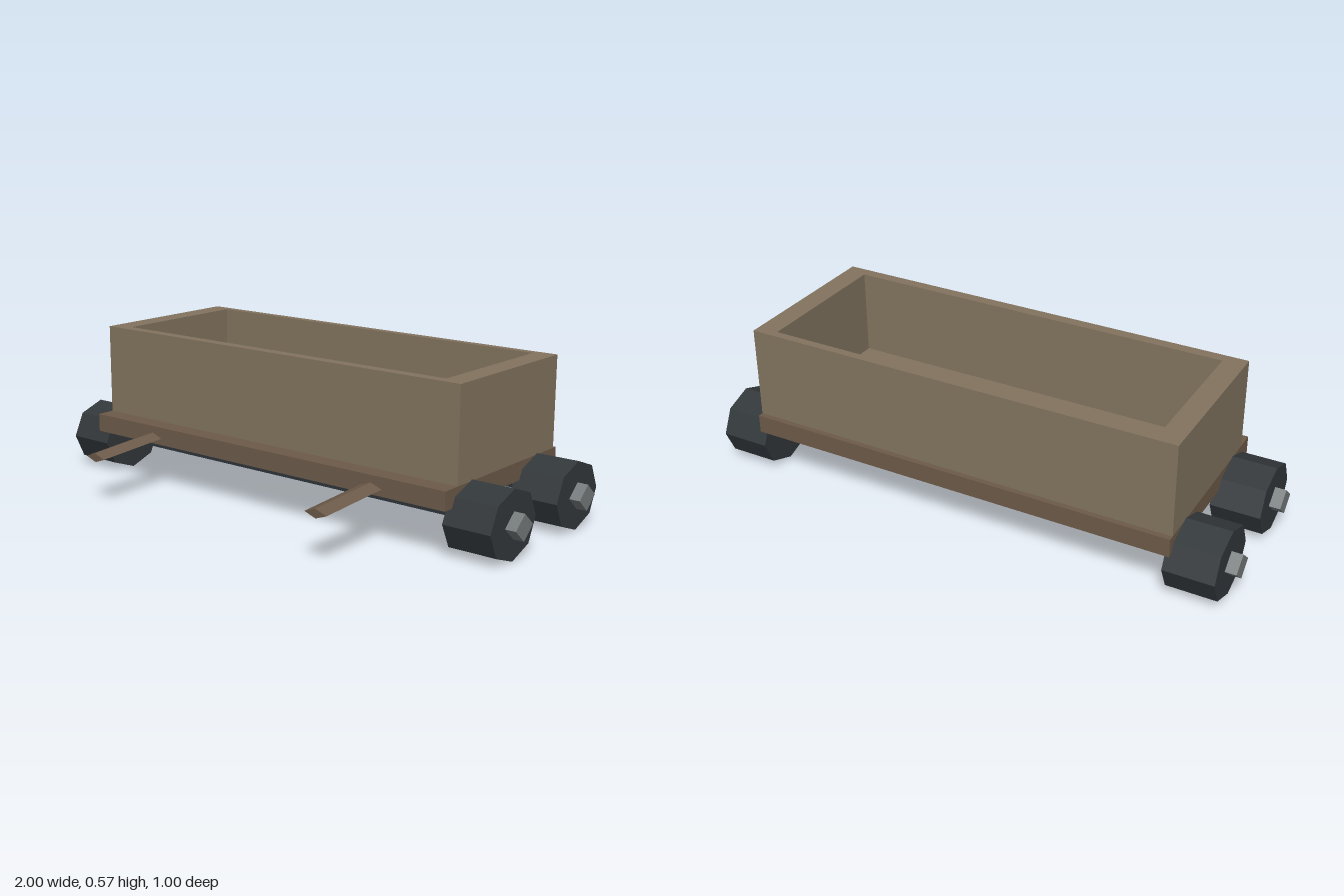
import * as THREE from 'three';

const paint = (color) => new THREE.MeshStandardMaterial({ color, flatShading: true });

export function createModel() {
  const group = new THREE.Group();
  const wood = paint(0x82735e), darkWood = paint(0x6c5a49);
  const rubber = paint(0x32373a), steel = paint(0x3b444b), hubMetal = paint(0x74797b);

  function add(name, geometry, material, x, y, z) {
    const mesh = new THREE.Mesh(geometry, material);
    mesh.name = name;
    mesh.position.set(x, y, z);
    group.add(mesh);
    return mesh;
  }

  // Faceted bar lying along x, with its own height and depth radii
  const barX = (length, sides, ry, rz) =>
    new THREE.CylinderGeometry(1, 1, length, sides).rotateZ(Math.PI / 2).scale(1, ry, rz);

  // Flat bed
  add('chassis', new THREE.BoxGeometry(1.6, 0.067, 0.7), darkWood, 0, 0.2065, -0.14);

  // Open cargo box: four walls from one frame, plus a floor
  const rect = (path, x, z0, z1) =>
    path.moveTo(-x, -z1).lineTo(x, -z1).lineTo(x, -z0).lineTo(-x, -z0).closePath();
  const frame = new THREE.Shape();
  rect(frame, 0.8, -0.47, 0.14);
  const opening = new THREE.Path();
  rect(opening, 0.72, -0.44, 0.10);
  frame.holes.push(opening);
  const walls = new THREE.ExtrudeGeometry(frame, { depth: 0.335, bevelEnabled: false });
  add('boxWalls', walls.rotateX(-Math.PI / 2), wood, 0, 0.24, 0);
  add('boxFloor', new THREE.BoxGeometry(1.44, 0.02, 0.54), wood, 0, 0.25, -0.17);

  // Axles, wheels and hubs
  const axleY = 0.1225;
  for (const [place, z] of [['front', 0.055], ['rear', -0.36]]) {
    add(place + 'Axle', barX(1.6, 8, 0.02, 0.02), steel, 0, axleY, z);
    for (const [side, s] of [['Left', 1], ['Right', -1]]) {
      add(place + side + 'Wheel', barX(0.18, 8, 0.1225, 0.139), rubber, s * 0.87, axleY, z);
      add(place + side + 'Hub', barX(0.1, 4, 0.047, 0.053), hubMetal, s * 0.95, axleY, z);
    }
  }

  // Pull handles: diamond bars sloping down to the front
  for (const [side, s] of [['left', 1], ['right', -1]]) {
    const bar = new THREE.CylinderGeometry(1, 1, 0.4, 4).rotateX(Math.PI / 2).scale(0.045, 0.0165, 1);
    const handle = add(side + 'Handle', bar, darkWood, s * 0.507, 0.192, 0.3);
    handle.rotation.x = 0.066;
  }

  return group;
}
